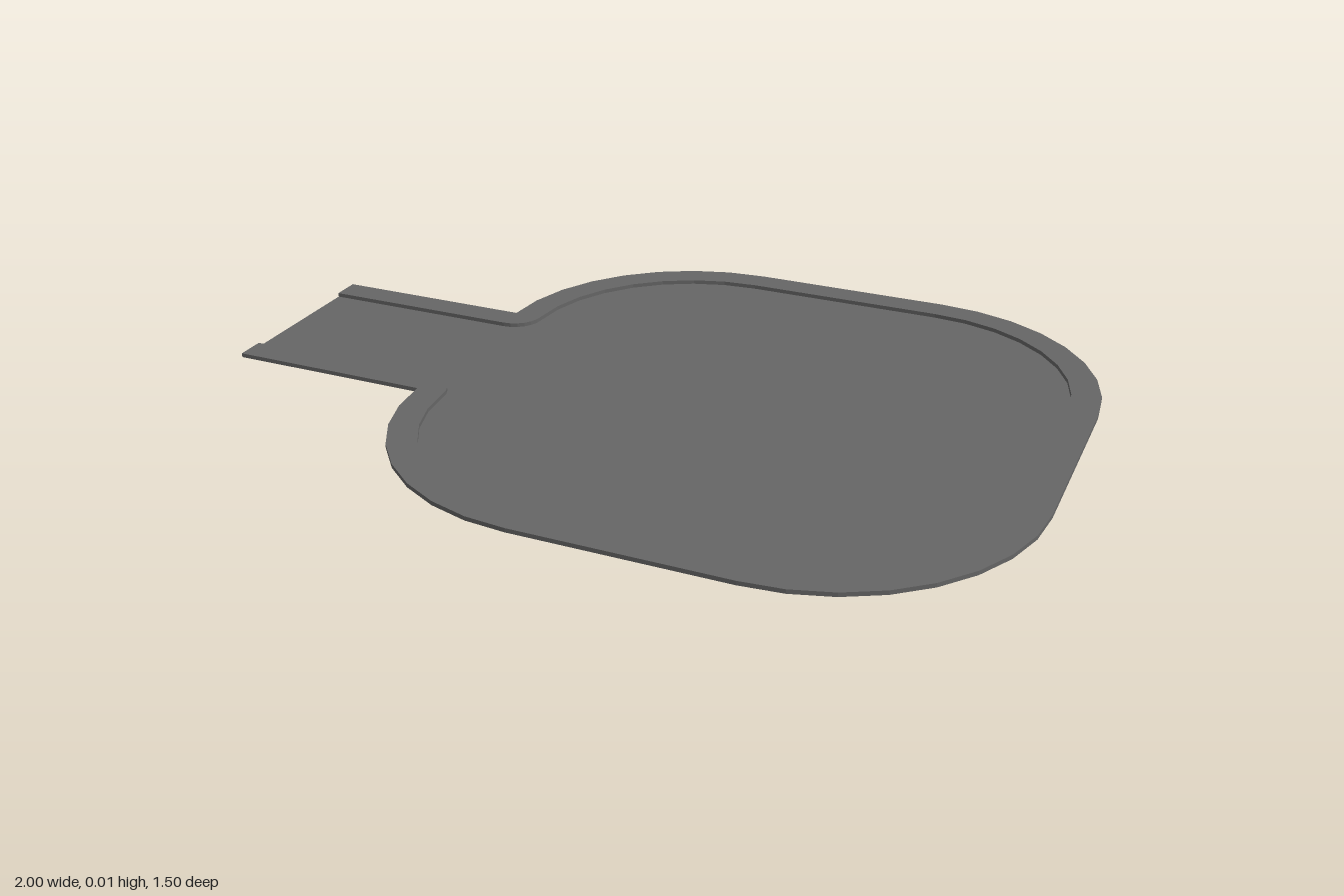
import * as THREE from 'three';

const HEIGHT = 0.01;      // kerb height
const KERB = 0.07;        // kerb width
const HALF_LANE = 0.25;   // half width of the entry lane
const RADIUS = 0.5;       // corner radius of the turning area

// Points on an arc, from angle a to angle b
function arc(cx, cy, r, a, b, steps = 8) {
  return Array.from({ length: steps + 1 }, (_, i) => {
    const t = a + ((b - a) * i) / steps;
    return new THREE.Vector2(cx + r * Math.cos(t), cy + r * Math.sin(t));
  });
}

// Counter-clockwise outline of lane and turning area, moved inward by d
function outline(d) {
  const P = Math.PI, r = RADIUS - d, h = HALF_LANE;
  const lower = [
    new THREE.Vector2(-1, -h + d),
    ...(d > 0 ? arc(-0.5, -h, d, P / 2, 0, 6) : []),
    ...arc(0, -h, r, P, 1.5 * P).slice(d > 0 ? 1 : 0),
    ...arc(0.5, -h, r, 1.5 * P, 2 * P),
  ];
  const upper = lower.map((p) => new THREE.Vector2(p.x, -p.y)).reverse();
  return [...lower, ...upper];
}

export function createModel() {
  const model = new THREE.Group();
  model.name = 'roadEnd';
  const asphalt = new THREE.MeshStandardMaterial({ color: 0x666666, side: THREE.DoubleSide });
  asphalt.name = 'asphalt grey';

  // Sunken road surface
  const inner = outline(KERB);
  const road = new THREE.Mesh(new THREE.ShapeGeometry(new THREE.Shape(inner)), asphalt);
  road.name = 'roadSurface';

  // Raised kerb, open at the lane end
  const band = new THREE.Shape([...outline(0), ...inner.slice().reverse()]);
  const kerb = new THREE.Mesh(
    new THREE.ExtrudeGeometry(band, { depth: HEIGHT, bevelEnabled: false }), asphalt);
  kerb.name = 'kerb';

  // Lay both shapes flat
  for (const part of [road, kerb]) {
    part.geometry.rotateX(-Math.PI / 2);
    model.add(part);
  }
  return model;
}
